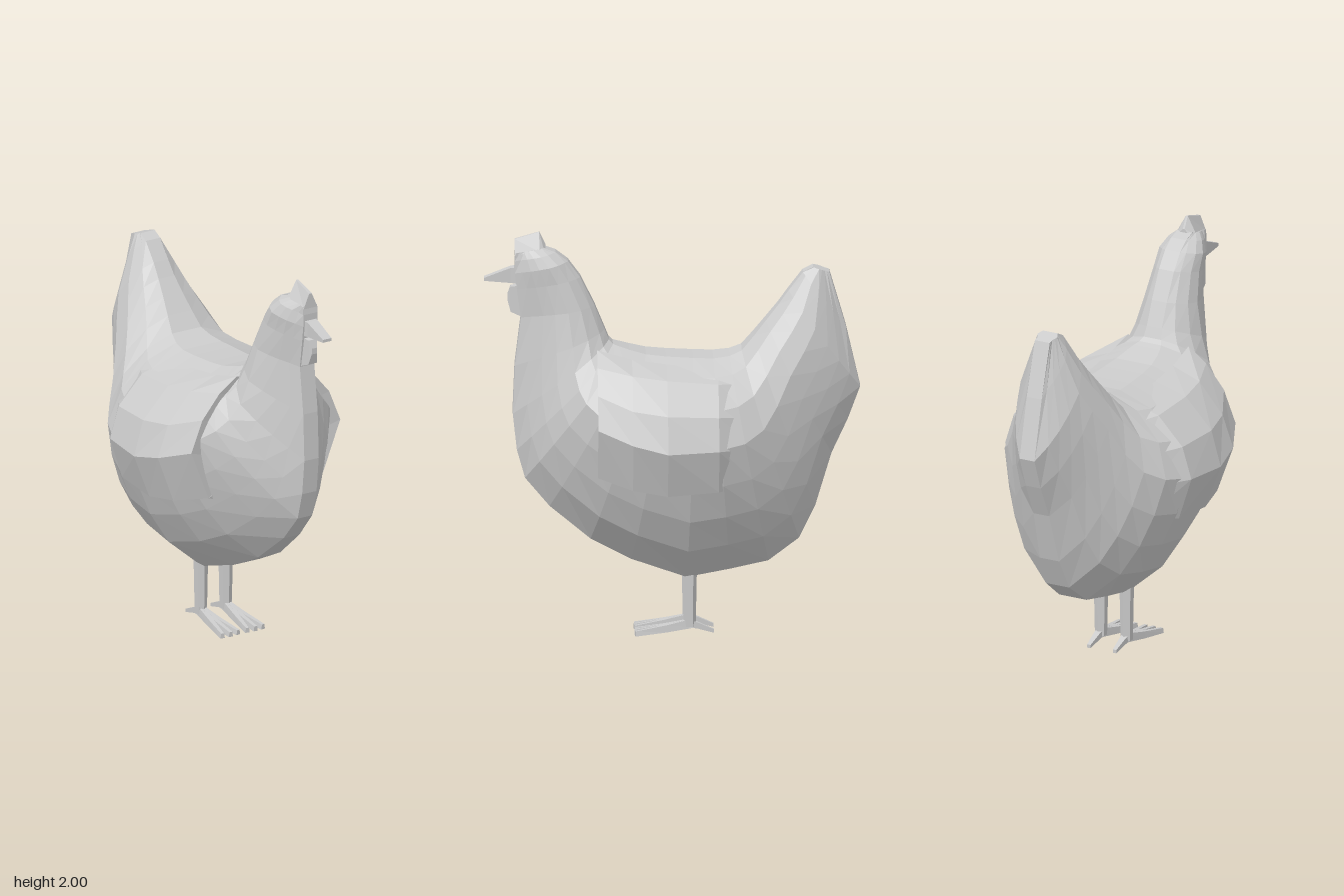
import * as THREE from 'three';

const material = new THREE.MeshStandardMaterial({ color: 0xcccccc, flatShading: true, side: THREE.DoubleSide });

function addMesh(parent, name, geometry) {
  const mesh = new THREE.Mesh(geometry, material);
  mesh.name = name;
  parent.add(mesh);
  return mesh;
}

// Skin over rings of [x, y, z]; closed rings also get end caps
function loft(rings, closed = true) {
  const n = rings[0].length, index = [];
  const last = (rings.length - 1) * n;
  for (let i = 0; i < rings.length - 1; i++) {
    for (let j = 0; j < (closed ? n : n - 1); j++) {
      const a = i * n + j, b = i * n + (j + 1) % n;
      index.push(a, b, b + n, a, b + n, a + n);
    }
  }
  if (closed) {
    for (let j = 1; j < n - 1; j++) index.push(0, j + 1, j, last, last + j, last + j + 1);
  }
  const g = new THREE.BufferGeometry();
  g.setAttribute('position', new THREE.Float32BufferAttribute(rings.flat(2), 3));
  g.setIndex(index);
  const flat = g.toNonIndexed();
  flat.computeVertexNormals();
  return flat;
}

// Four-sided tapering bar along z: [z, yTop, yBottom, half width at top, half width at bottom]
function bar(sections) {
  return loft(sections.map(([z, t, b, wt, wb = wt]) =>
    [[wt, t, z], [wb, b, z], [-wb, b, z], [-wt, t, z]]));
}

// Half outline of the body: [fraction from back line to belly line, fraction of half width]
const outline = [[0, 0.22], [0.06, 0.57], [0.19, 0.87], [0.36, 1], [0.54, 0.9], [0.7, 0.755], [0.85, 0.55], [1, 0.17]];

// Fanned slices from head through belly to tail:
// [back z, back y, belly z, belly y, half width, keel (narrows the belly side to a wedge)]
const slices = [
  [0.63, 1.925, 0.765, 1.9, 0.055, 0],
  [0.57, 1.905, 0.77, 1.86, 0.09, 0],
  [0.51, 1.86, 0.77, 1.8, 0.118, 0],
  [0.45, 1.78, 0.76, 1.72, 0.12, 0],
  [0.38, 1.64, 0.74, 1.58, 0.14, 0.3],
  [0.33, 1.52, 0.77, 1.34, 0.178, 0.5],
  [0.31, 1.47, 0.78, 1.1, 0.22, 0.6],
  [0.29, 1.45, 0.76, 0.92, 0.275, 0.6],
  [0.26, 1.44, 0.72, 0.78, 0.33, 0.6],
  [0.21, 1.425, 0.6, 0.64, 0.39, 0.5],
  [0.13, 1.405, 0.4, 0.48, 0.45, 0.25],
  [0.03, 1.395, 0.2, 0.38, 0.485, 0.08],
  [-0.1, 1.388, -0.07, 0.29, 0.505, 0],
  [-0.2, 1.385, -0.28, 0.33, 0.505, 0],
  [-0.28, 1.395, -0.47, 0.37, 0.455, 0],
  [-0.34, 1.42, -0.62, 0.48, 0.385, 0],
  [-0.4, 1.49, -0.7, 0.64, 0.32, 0],
  [-0.46, 1.565, -0.78, 0.9, 0.26, 0],
  [-0.52, 1.64, -0.86, 1.07, 0.21, 0],
  [-0.57, 1.71, -0.92, 1.23, 0.165, 0],
  [-0.64, 1.8, -0.85, 1.53, 0.098, 0],
  [-0.69, 1.825, -0.77, 1.8, 0.055, 0],
];

function bodyGeometry() {
  return loft(slices.map(([z0, y0, z1, y1, w, keel]) => {
    const half = outline.map(([t, f]) => {
      const x = w * f * (1 - keel * Math.max(0, t - 0.4));
      return [Math.max(x, 0.042), y0 + (y1 - y0) * t, z0 + (z1 - z0) * t];
    });
    return [...half, ...half.map(([x, y, z]) => [-x, y, z]).reverse()];
  }));
}

// Folded wing: columns from front to back, each running from shoulder to lower edge
function wingGeometry() {
  const columns = [
    [0.37, [0.17, 1.44], [0.27, 1.37], [0.37, 1.25], [0.435, 1.09], [0.335, 0.835]],
    [0.2, [0.18, 1.395], [0.33, 1.34], [0.46, 1.19], [0.52, 1.03], [0.43, 0.79]],
    [0.03, [0.18, 1.37], [0.35, 1.32], [0.495, 1.17], [0.547, 0.99], [0.46, 0.765]],
    [-0.22, [0.17, 1.35], [0.34, 1.3], [0.475, 1.16], [0.525, 1.0], [0.455, 0.785]],
    [-0.4, [0.12, 1.34], [0.24, 1.28], [0.35, 1.14], [0.39, 0.99], [0.35, 0.81]],
  ].map(([z, ...points]) => {
    const column = points.map(([x, y]) => [x, y, z]);
    const [x, y] = points.at(-1);
    // lower lip folds back into the body
    column.push([x - 0.07, y + 0.03, z]);
    return column;
  });
  // front lip folds back into the body
  columns.unshift(columns[0].map(([x, y, z]) => [x - 0.075, y - 0.025, z - 0.01]));
  return loft(columns, false);
}

function makeLeg(name, x) {
  const leg = new THREE.Group();
  leg.name = name;
  leg.position.set(x, 0, -0.085);
  addMesh(leg, 'shank', new THREE.CylinderGeometry(0.036, 0.03, 0.3, 6).translate(0, 0.19, 0));
  for (const turn of [-0.17, 0, 0.17]) {
    const toe = addMesh(leg, 'frontToe', bar([
      [0.27, 0.025, 0, 0.008, 0.012],
      [0.12, 0.05, 0.015, 0.012, 0.016],
      [-0.02, 0.08, 0.035, 0.016, 0.02],
    ]));
    toe.rotation.y = turn;
  }
  addMesh(leg, 'backToe', bar([
    [0.02, 0.08, 0.04, 0.02],
    [-0.04, 0.06, 0.03, 0.016],
    [-0.12, 0.025, 0.008, 0.01],
  ]));
  return leg;
}

export function createModel() {
  const hen = new THREE.Group();
  hen.name = 'hen';
  addMesh(hen, 'body', bodyGeometry());

  // Head details
  addMesh(hen, 'comb', bar([
    [0.77, 1.965, 1.89, 0.008, 0.04],
    [0.65, 2.0, 1.91, 0.005, 0.055],
    [0.62, 1.94, 1.89, 0.005, 0.05],
  ]));
  addMesh(hen, 'beak', bar([
    [0.92, 1.775, 1.76, 0.025],
    [0.79, 1.825, 1.75, 0.03],
    [0.74, 1.83, 1.745, 0.038],
  ]));
  addMesh(hen, 'wattle', bar([
    [0.805, 1.69, 1.66, 0.015],
    [0.79, 1.73, 1.605, 0.025],
    [0.73, 1.74, 1.58, 0.038],
  ]));

  // Wings and legs; the weight rests slightly to the right
  for (const [label, side, legX] of [['left', 1, 0.062], ['right', -1, -0.083]]) {
    addMesh(hen, label + 'Wing', wingGeometry()).scale.x = side;
    hen.add(makeLeg(label + 'Leg', legX));
  }
  return hen;
}
